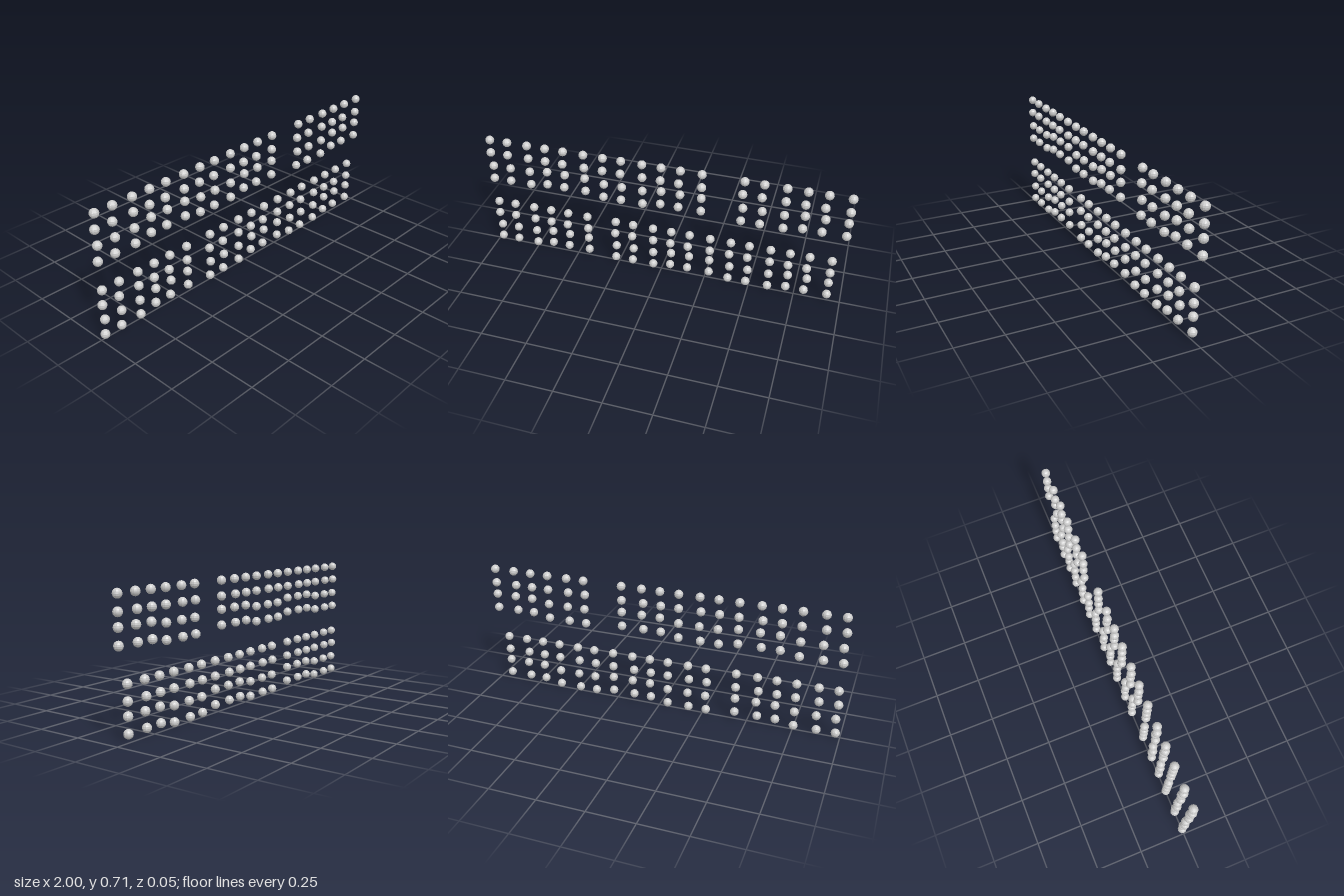
import * as THREE from 'three';

// One cluster: six columns of four beads. Lower beads hang deeper in the left half.
const OFFSETS_A = [-0.216, -0.115, 0, 0.104, 0.207, 0.322];
const OFFSETS_B = [-0.222, -0.122, 0, 0.099, 0.198, 0.322];
const LEFT_ROWS = [0.274, 0.193, 0.107, 0.024];
const RIGHT_ROWS = [0.274, 0.193, 0.124, 0.042];

export function createModel() {
  const model = new THREE.Group();
  model.name = 'beadPanel';
  const bead = new THREE.SphereGeometry(0.024, 12, 8);
  const material = new THREE.MeshStandardMaterial({ color: 0xcccccc, flatShading: true });

  function addCluster(name, x, y) {
    const cluster = new THREE.Group();
    cluster.name = name;
    cluster.position.set(x, y, 0);
    for (let col = 0; col < 6; col++) {
      const rows = col < 3 ? LEFT_ROWS : RIGHT_ROWS;
      rows.forEach((rowY, row) => {
        // alternate rows are shifted slightly sideways
        const offsets = row % 2 ? OFFSETS_B : OFFSETS_A;
        const mesh = new THREE.Mesh(bead, material);
        mesh.name = `bead${col + 1}_${row + 1}`;
        mesh.position.set(offsets[col], rowY, 0);
        cluster.add(mesh);
      });
    }
    model.add(cluster);
  }

  // Two lines of three clusters
  [-0.753, -0.106, 0.653].forEach((x, i) => addCluster(`upperCluster${i + 1}`, x, 0.41));
  [-0.753, -0.048, 0.604].forEach((x, i) => addCluster(`lowerCluster${i + 1}`, x, 0));
  return model;
}
